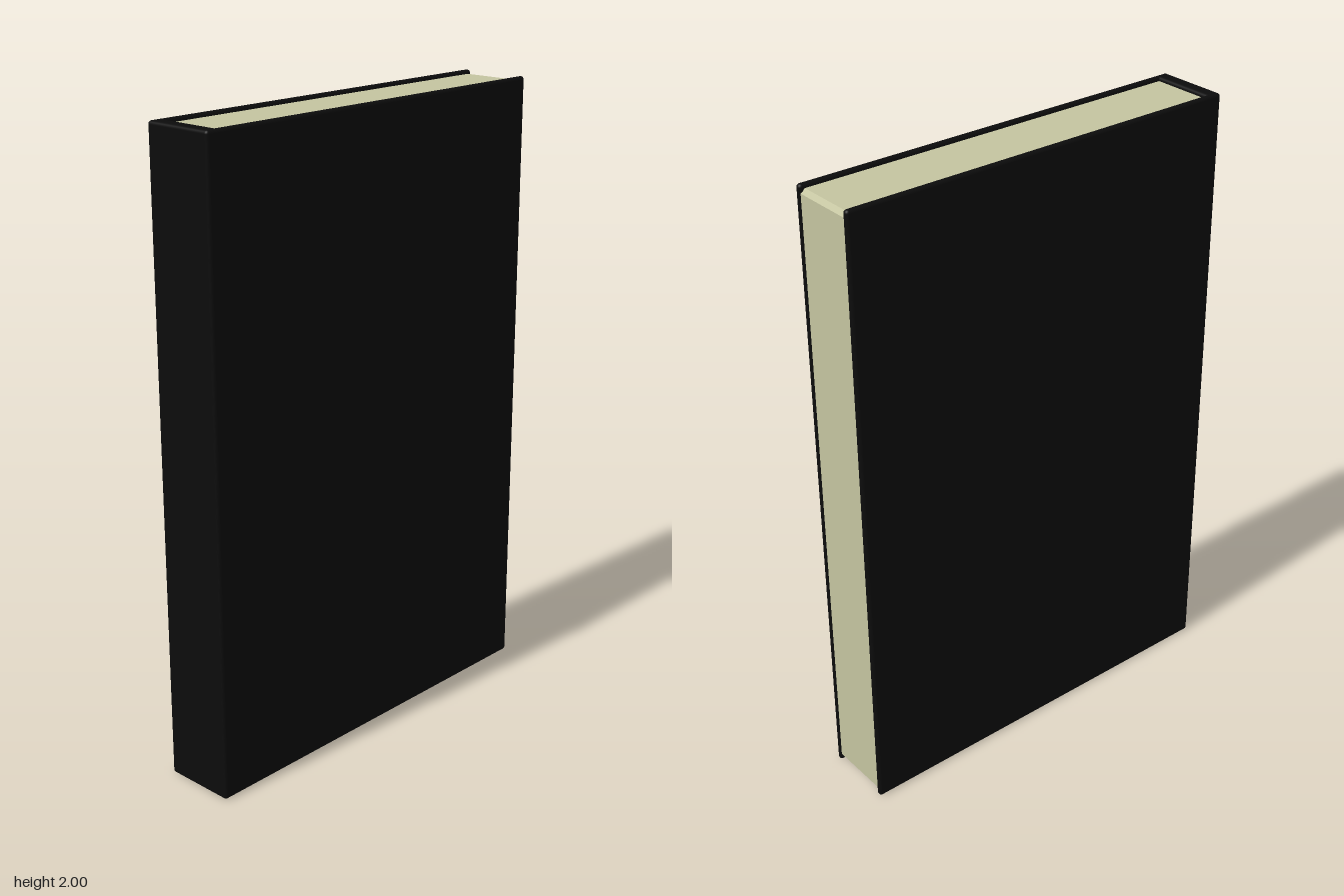
import * as THREE from 'three';
import { RoundedBoxGeometry } from 'three/addons/geometries/RoundedBoxGeometry.js';

const HEIGHT = 2, DEPTH = 1.344, WIDTH = 0.238;
const BOARD = 0.021, SPINE = 0.046, EDGE = 0.01;

export function createModel() {
  const book = new THREE.Group();
  book.name = 'book';
  const coverMaterial = new THREE.MeshStandardMaterial({ color: 0x0c0c0c });
  const paperMaterial = new THREE.MeshStandardMaterial({ color: 0xc4c4a0 });

  const addBoard = (name, w, d, x, z) => {
    const mesh = new THREE.Mesh(new RoundedBoxGeometry(w, HEIGHT, d, 3, EDGE), coverMaterial);
    mesh.name = name;
    mesh.position.set(x, HEIGHT / 2, z);
    book.add(mesh);
  };

  // Two cover boards joined by the spine at the front
  for (const side of [-1, 1]) {
    addBoard(side > 0 ? 'leftCover' : 'rightCover', BOARD, DEPTH, side * (WIDTH - BOARD) / 2, 0);
  }
  addBoard('spine', WIDTH, SPINE, 0, (DEPTH - SPINE) / 2);

  // Page block: side profile with small chamfers on the open edge
  const back = -0.668, front = DEPTH / 2 - SPINE + 0.01;
  const low = 0.012, high = HEIGHT - 0.012, chamfer = 0.013;
  const profile = new THREE.Shape([
    [-front, low], [-back - chamfer, low], [-back, low + chamfer],
    [-back, high - chamfer], [-back - chamfer, high], [-front, high],
  ].map(([u, y]) => new THREE.Vector2(u, y)));
  const thickness = WIDTH - 2 * BOARD + 0.006;
  const pageGeometry = new THREE.ExtrudeGeometry(profile, { depth: thickness, bevelEnabled: false });
  pageGeometry.translate(0, 0, -thickness / 2).rotateY(Math.PI / 2);
  const pages = new THREE.Mesh(pageGeometry, paperMaterial);
  pages.name = 'pages';
  book.add(pages);

  return book;
}
